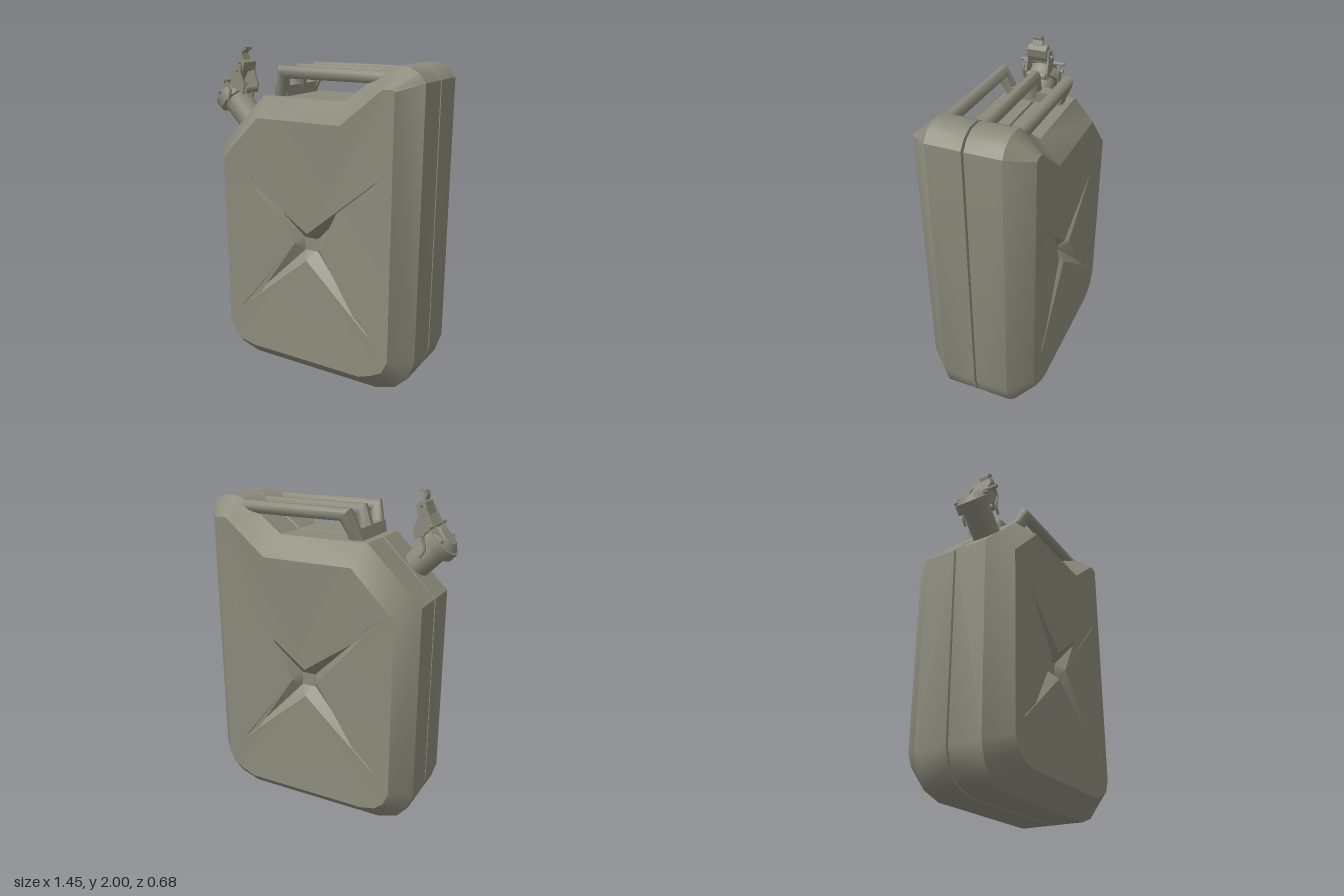
import * as THREE from 'three';
import { toCreasedNormals } from 'three/addons/utils/BufferGeometryUtils.js';

const paint = new THREE.MeshStandardMaterial({ color: 0x8b8a7b });
paint.name = 'olive grey paint';

// Outer outline (x, y) and matching inner panel outline (x, y), counterclockwise
const OUTLINE = [
  [-0.42, 0, -0.36, 0.12], [0.48, 0, 0.42, 0.12], [0.6, 0.04, 0.5, 0.15], [0.68, 0.12, 0.57, 0.19],
  [0.72, 0.24, 0.605, 0.27], [0.72, 1.85, 0.605, 1.81], [0.68, 1.9, 0.59, 1.82], [0.62, 1.93, 0.57, 1.82],
  [0.54, 1.93, 0.54, 1.82], [0.47, 1.9, 0.5, 1.79], [0.24, 1.725, 0.28, 1.61], [-0.32, 1.725, -0.28, 1.61],
  [-0.65, 1.4, -0.54, 1.35], [-0.65, 0.22, -0.54, 0.26], [-0.62, 0.12, -0.51, 0.19], [-0.55, 0.04, -0.45, 0.14],
];

function mesh(name, geometry) {
  const m = new THREE.Mesh(geometry, paint);
  m.name = name;
  return m;
}

// Triangle list to geometry; flip reverses the winding for mirrored parts
function fromTriangles(tris, flip = false, crease = 0.6) {
  const pos = [];
  for (const [a, b, c] of tris) pos.push(...a, ...(flip ? c : b), ...(flip ? b : c));
  const g = new THREE.BufferGeometry();
  g.setAttribute('position', new THREE.Float32BufferAttribute(pos, 3));
  return toCreasedNormals(g, crease);
}

// Skin between successive closed rings
function loft(rings, capEnd = false) {
  const tris = [];
  for (let j = 0; j < rings.length - 1; j++) {
    const r = rings[j], q = rings[j + 1];
    for (let i = 0; i < r.length; i++) {
      const k = (i + 1) % r.length;
      tris.push([r[i], r[k], q[k]], [r[i], q[k], q[i]]);
    }
  }
  if (capEnd) {
    const e = rings[rings.length - 1];
    for (let i = 1; i < e.length - 1; i++) tris.push([e[0], e[i], e[i + 1]]);
  }
  return tris;
}

// One pressed shell half, s = 1 front, s = -1 back
function shellHalf(s) {
  const outer = (z) => OUTLINE.map(([x, y]) => [x, y, z * s]);
  const seam = OUTLINE.map(([x, y]) => [0.035 + (x - 0.035) * 0.97, 0.95 + (y - 0.95) * 0.975, 0]);
  const inner = OUTLINE.map((p) => [p[2], p[3], 0.34 * s]);
  const tris = loft([seam, outer(0.007), outer(0.21), inner]);

  // Panel with a pressed cross: arm tips, corners between arms, sunken hub
  const tips = [[0.49, 0.38], [0.53, 1.34], [-0.46, 1.34], [-0.45, 0.37]].map(([x, y]) => [x, y, 0.338 * s]);
  const corners = [[0.125, 0.86], [0.04, 0.94], [-0.045, 0.87], [0.035, 0.77]].map(([x, y]) => [x, y, 0.305 * s]);
  const hub = [[0.085, 0.82], [0.085, 0.9], [-0.005, 0.9], [-0.005, 0.82]].map(([x, y]) => [x, y, 0.25 * s]);
  const anchor = [3, 5, 12, 14];
  const n = inner.length;
  for (let w = 0; w < 4; w++) {
    const next = (w + 1) % 4, v = corners[w], prev = corners[(w + 3) % 4];
    tris.push([v, tips[w], inner[anchor[w]]]);
    for (let i = anchor[w]; i !== anchor[next]; i = (i + 1) % n) tris.push([v, inner[i], inner[(i + 1) % n]]);
    tris.push([v, inner[anchor[next]], tips[next]]);
    tris.push([prev, tips[w], hub[w]], [hub[w], tips[w], v], [hub[w], v, hub[next]]);
  }
  tris.push([hub[0], hub[1], hub[2]], [hub[0], hub[2], hub[3]]);
  return fromTriangles(tris, s < 0);
}

// Carrying bar with a mitred leg leaning in towards the middle
function handleBar(side) {
  const ring = (x, y, z, ux, uy) => Array.from({ length: 8 }, (_, i) => {
    const a = (i + 0.5) * Math.PI / 4, c = Math.cos(a) * 1.08, d = Math.sin(a) * 1.08;
    return [x + ux * c, y + uy * c, z - 0.036 * d];
  });
  return fromTriangles(loft([
    ring(-0.23, 1.71, side * 0.13, 0.045, 0),
    ring(-0.18, 1.87, side * 0.2, 0.03, -0.035),
    ring(0.52, 1.87, side * 0.2, 0, -0.035),
  ], true), false, 0.85);
}

// Flat side profile extruded across z
function plate(points, z0, z1) {
  const shape = new THREE.Shape(points.map(([x, y]) => new THREE.Vector2(x, y)));
  return new THREE.ExtrudeGeometry(shape, { depth: z1 - z0, bevelEnabled: false }).translate(0, 0, z0);
}

function pin(name, x, y, r, z0, z1) {
  const g = new THREE.CylinderGeometry(r, r, z1 - z0, 8).rotateX(Math.PI / 2);
  return mesh(name, g.translate(x, y, (z0 + z1) / 2));
}

export function createModel() {
  const model = new THREE.Group();
  model.name = 'fuelCan';

  // Body
  model.add(mesh('frontShell', shellHalf(1)), mesh('backShell', shellHalf(-1)));

  // Handle
  const handle = new THREE.Group();
  handle.name = 'handle';
  for (const [name, side] of [['leftBar', 1], ['middleBar', 0], ['rightBar', -1]]) handle.add(mesh(name, handleBar(side)));
  const rect = (x0, x1, y, z) => [[x0, y, z], [x1, y, z], [x1, y, -z], [x0, y, -z]];
  handle.add(mesh('handleFoot', fromTriangles(loft([
    rect(-0.275, -0.18, 1.71, 0.16), rect(-0.25, -0.17, 1.79, 0.185),
  ], true))));
  model.add(handle);

  // Spout and cap on the sloping shoulder
  const spout = new THREE.Group();
  spout.name = 'spout';
  spout.position.set(-0.49, 1.56, 0.11);
  spout.rotation.z = Math.PI / 4;
  const round = (name, rTop, rBottom, y0, y1) => {
    const g = new THREE.CylinderGeometry(rTop, rBottom, y1 - y0, 12);
    spout.add(mesh(name, toCreasedNormals(g.translate(0, (y0 + y1) / 2, 0), 0.7)));
  };
  round('neck', 0.085, 0.085, -0.1, 0.17);
  round('capRim', 0.112, 0.112, 0.165, 0.225);
  round('capTop', 0.06, 0.1, 0.225, 0.26);
  model.add(spout);

  // Clamp: cheeks, lever, curled thumb tab, pins
  const clamp = new THREE.Group();
  clamp.name = 'clamp';
  const cheek = [[-0.65, 1.69], [-0.665, 1.735], [-0.605, 1.81], [-0.555, 1.9], [-0.505, 1.9],
    [-0.51, 1.85], [-0.485, 1.77], [-0.5, 1.72], [-0.545, 1.75], [-0.585, 1.76], [-0.62, 1.7]];
  for (const [name, z] of [['rightCheek', 0.035], ['leftCheek', 0.173]]) clamp.add(mesh(name, plate(cheek, z, z + 0.012)));
  const lever = [[-0.61, 1.8], [-0.57, 1.86], [-0.545, 1.93], [-0.52, 1.935], [-0.49, 1.91], [-0.505, 1.86],
    [-0.52, 1.86], [-0.515, 1.905], [-0.53, 1.91], [-0.555, 1.85], [-0.595, 1.79]];
  clamp.add(mesh('lever', plate(lever, 0.05, 0.17)));
  const tab = [[-0.53, 1.92], [-0.542, 1.965], [-0.53, 1.988], [-0.498, 2], [-0.496, 1.985],
    [-0.52, 1.975], [-0.525, 1.962], [-0.508, 1.92]];
  clamp.add(mesh('thumbTab', plate(tab, 0.083, 0.147)));
  clamp.add(
    pin('pivotPin', -0.598, 1.8, 0.012, -0.035, 0.25),
    pin('latchPin', -0.66, 1.725, 0.01, -0.01, 0.23),
    pin('leverPin', -0.54, 1.86, 0.01, 0.02, 0.2),
    pin('hingePin', -0.5, 1.745, 0.022, 0.05, 0.17),
  );

  // Wire bail hooked under the cap rim
  for (const [name, z] of [['rightBail', -0.008], ['leftBail', 0.228]]) {
    const path = new THREE.CatmullRomCurve3([[-0.598, 1.8], [-0.56, 1.75], [-0.575, 1.68], [-0.545, 1.63]]
      .map(([x, y]) => new THREE.Vector3(x, y, z)));
    clamp.add(mesh(name, new THREE.TubeGeometry(path, 8, 0.009, 6)));
  }
  model.add(clamp);
  return model;
}
